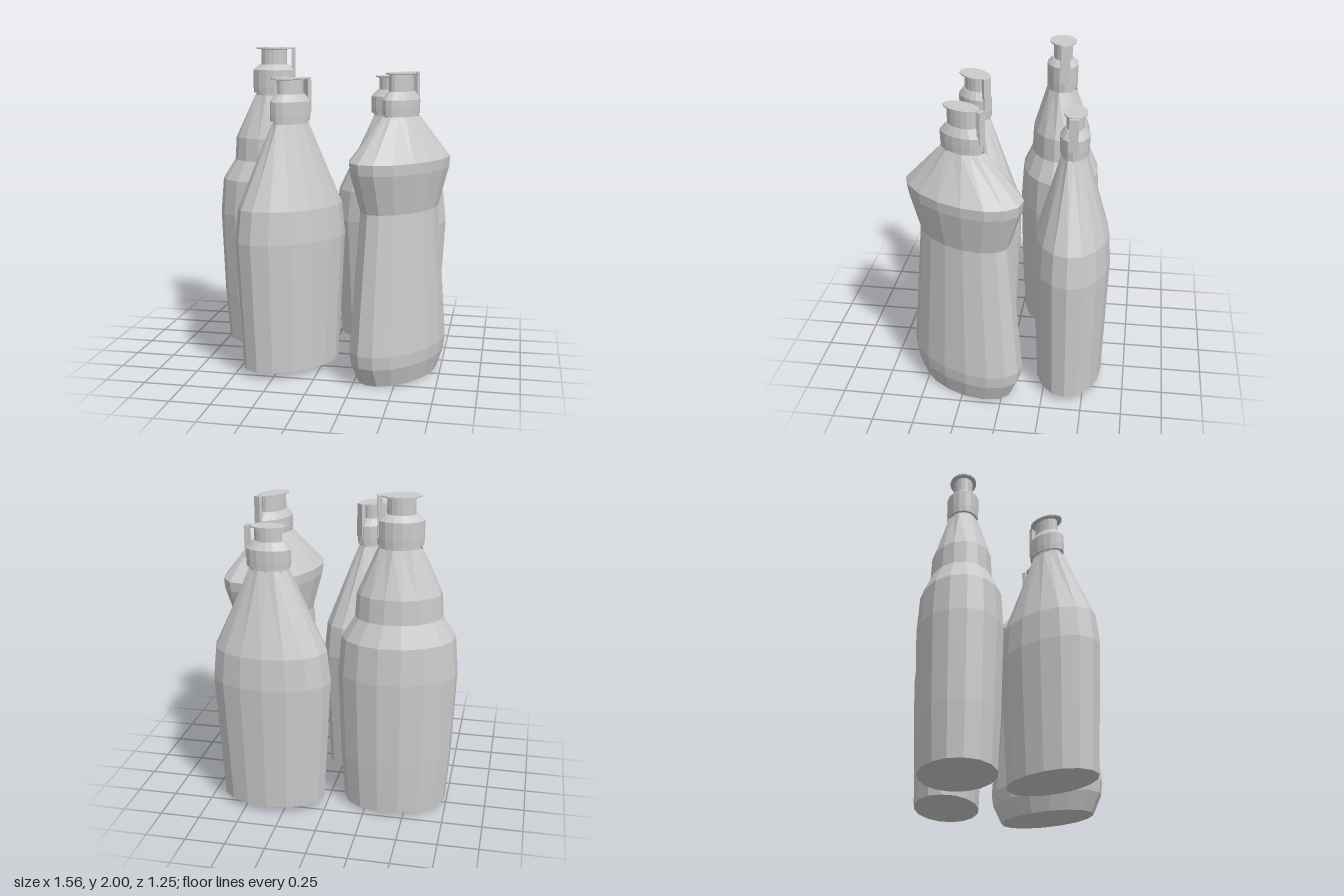
import * as THREE from 'three';

const SIDES = 16;
const material = new THREE.MeshStandardMaterial({ color: 0xcccccc, flatShading: true, side: THREE.DoubleSide });

function lathe(name, profile) {
  const points = profile.map(([r, y]) => new THREE.Vector2(r, y));
  const mesh = new THREE.Mesh(new THREE.LatheGeometry(points, SIDES), material);
  mesh.name = name;
  return mesh;
}

// Sixteen-sided body whose last ring flattens to an octagon, giving broad shoulder panels
function makeBody(profile) {
  const body = lathe('body', [[0, profile[0][1]], ...profile]);
  const pos = body.geometry.attributes.position;
  const rings = profile.length + 1;
  for (let side = 0; side <= SIDES; side += 2) {
    const i = side * rings + rings - 1;
    const k = Math.cos(Math.PI / 8);
    pos.setXYZ(i, pos.getX(i) * k, pos.getY(i), pos.getZ(i) * k);
  }
  return body;
}

// Neck, collar, spout and flat lid, with a hinge strip at one end
function makeCap({ y, collar, edge, taper, top, radius, post, lid }) {
  const cap = new THREE.Group();
  cap.name = 'cap';
  cap.add(lathe('collar', [
    [radius * 0.86, y - 0.02], [radius * 0.86, collar], [radius * 0.98, collar],
    [radius, collar + 0.04], [radius, edge], [post + 0.01, taper], [post, taper],
  ]));
  cap.add(lathe('spout', [[post, taper], [post, top - 0.012]]));
  cap.add(lathe('lid', [[post, top - 0.012], [lid, top - 0.008], [lid, top], [0, top]]));

  const low = collar + 0.05;
  const hinge = new THREE.Mesh(new THREE.BoxGeometry(0.025, top - low, 0.085), material);
  hinge.name = 'hinge';
  hinge.position.set(radius - 0.012, (top + low) / 2, 0);
  cap.add(hinge);
  return cap;
}

// Plain tapered body shared by two bottles
const plain = [[0.33, 0.04], [0.375, 0.85], [0.353, 1.05], [0.125, 1.555]];
const waisted = [[0.33, 0], [0.39, 0.12], [0.402, 0.2], [0.32, 1.05], [0.405, 1.29], [0.412, 1.355], [0.152, 1.61]];
const stepped = [[0.325, 0.02], [0.35, 0.35], [0.37, 0.9], [0.35, 1.13], [0.268, 1.26], [0.258, 1.41], [0.138, 1.69]];

const bottles = [
  { name: 'backLeftBottle', x: 0.35, z: -0.395, turn: 0, depth: 0.63, body: plain,
    cap: { y: 1.555, collar: 1.57, edge: 1.68, taper: 1.725, top: 1.815, radius: 0.139, post: 0.085, lid: 0.11 } },
  { name: 'backRightBottle', x: -0.42, z: -0.25, turn: 11.5, depth: 0.715, body: stepped,
    cap: { y: 1.69, collar: 1.705, edge: 1.855, taper: 1.89, top: 2.0, radius: 0.14, post: 0.085, lid: 0.118 } },
  { name: 'frontRightBottle', x: -0.185, z: 0.285, turn: 45, depth: 0.63, body: plain,
    cap: { y: 1.555, collar: 1.57, edge: 1.69, taper: 1.735, top: 1.832, radius: 0.135, post: 0.088, lid: 0.125 } },
  { name: 'frontLeftBottle', x: 0.49, z: 0.245, turn: 60, depth: 0.56, body: waisted,
    cap: { y: 1.61, collar: 1.62, edge: 1.71, taper: 1.757, top: 1.868, radius: 0.153, post: 0.1, lid: 0.125 } },
];

export function createModel() {
  const model = new THREE.Group();
  model.name = 'bottles';
  for (const b of bottles) {
    const bottle = new THREE.Group();
    bottle.name = b.name;
    bottle.add(makeBody(b.body), makeCap(b.cap));
    // Squash the round bottle to an oval, then turn it
    bottle.scale.z = b.depth;
    bottle.rotation.y = THREE.MathUtils.degToRad(b.turn);
    bottle.position.set(b.x, 0, b.z);
    model.add(bottle);
  }
  return model;
}
